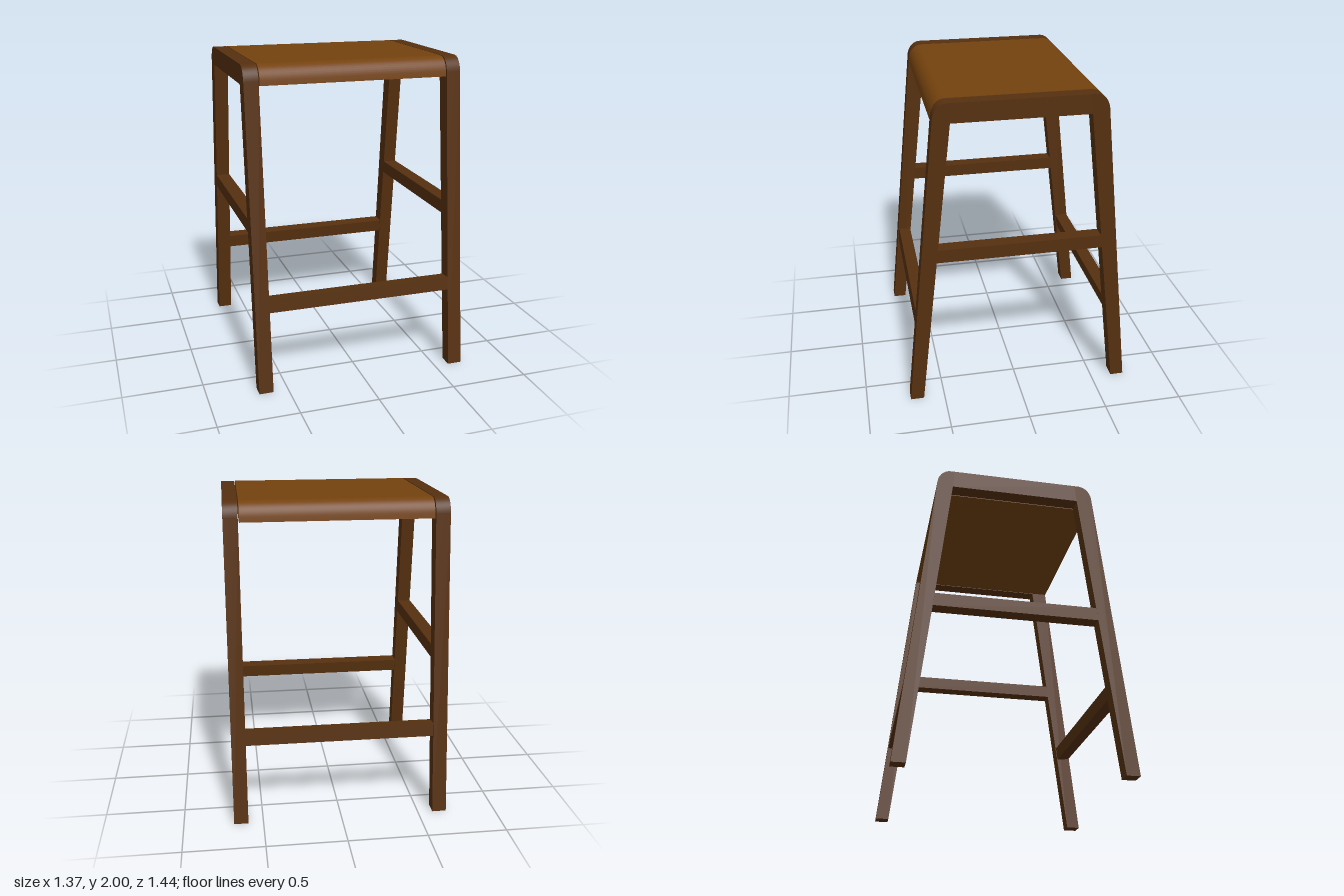
import * as THREE from 'three';
import { toCreasedNormals } from 'three/addons/utils/BufferGeometryUtils.js';

const frameWood = new THREE.MeshStandardMaterial({ color: 0x56300f });
frameWood.name = 'dark wood';
const seatWood = new THREE.MeshStandardMaterial({ color: 0x74420e });
seatWood.name = 'warm seat wood';

// Extrude a (z, y) side profile across x, centred on x = 0
function sideExtrude(shape, width) {
  const geo = new THREE.ExtrudeGeometry(shape, { depth: width, bevelEnabled: false, curveSegments: 12 });
  geo.translate(0, 0, -width / 2);
  geo.rotateY(-Math.PI / 2);
  return toCreasedNormals(geo, 0.5);
}

export function createModel() {
  const group = new THREE.Group();
  const add = (name, geo, mat, x = 0, y = 0, z = 0) => {
    const mesh = new THREE.Mesh(geo, mat);
    mesh.name = name;
    mesh.position.set(x, y, z);
    group.add(mesh);
    return mesh;
  };

  const legX = 0.64, legW = 0.09;

  // Splayed leg with a rounded shoulder
  const leg = new THREE.Shape();
  leg.moveTo(0.635, 0);
  leg.lineTo(0.72, 0);
  leg.lineTo(0.517, 1.91);
  leg.bezierCurveTo(0.511, 1.962, 0.475, 2, 0.43, 2);
  leg.lineTo(0.405, 2);
  leg.lineTo(0.416, 1.88);
  leg.closePath();
  const legGeo = sideExtrude(leg, legW);

  // Top rail between the leg shoulders
  const rail = new THREE.Shape();
  rail.moveTo(-0.416, 1.88);
  rail.lineTo(0.416, 1.88);
  rail.lineTo(0.405, 2);
  rail.lineTo(-0.405, 2);
  rail.closePath();
  const railGeo = sideExtrude(rail, legW);

  // Side stretcher with ends cut to the leg angle
  const stretcher = new THREE.Shape();
  stretcher.moveTo(-0.519, 0.995);
  stretcher.lineTo(0.519, 0.995);
  stretcher.lineTo(0.509, 1.08);
  stretcher.lineTo(-0.509, 1.08);
  stretcher.closePath();
  const stretcherGeo = sideExtrude(stretcher, legW);

  for (const side of [-1, 1]) {
    const label = side > 0 ? 'left' : 'right';
    add(label + 'FrontLeg', legGeo, frameWood, side * legX);
    add(label + 'BackLeg', legGeo, frameWood, side * legX).rotation.y = Math.PI;
    add(label + 'TopRail', railGeo, frameWood, side * legX);
    add(label + 'SideStretcher', stretcherGeo, frameWood, side * legX);
  }

  // Front and back footrests, tilted with the legs
  const footrestGeo = new THREE.BoxGeometry(1.19, 0.086, 0.082);
  for (const side of [-1, 1]) {
    const bar = add(side > 0 ? 'frontFootrest' : 'backFootrest', footrestGeo, frameWood, 0, 0.548, side * 0.616);
    bar.rotation.x = -side * 0.112;
  }

  // Seat with rounded front and back edges
  const seat = new THREE.Shape();
  seat.moveTo(-0.52, 1.88);
  seat.lineTo(0.52, 1.88);
  seat.lineTo(0.517, 1.91);
  seat.bezierCurveTo(0.511, 1.962, 0.475, 2, 0.43, 2);
  seat.lineTo(-0.43, 2);
  seat.bezierCurveTo(-0.475, 2, -0.511, 1.962, -0.517, 1.91);
  seat.closePath();
  add('seat', sideExtrude(seat, 1.178), seatWood);

  return group;
}
